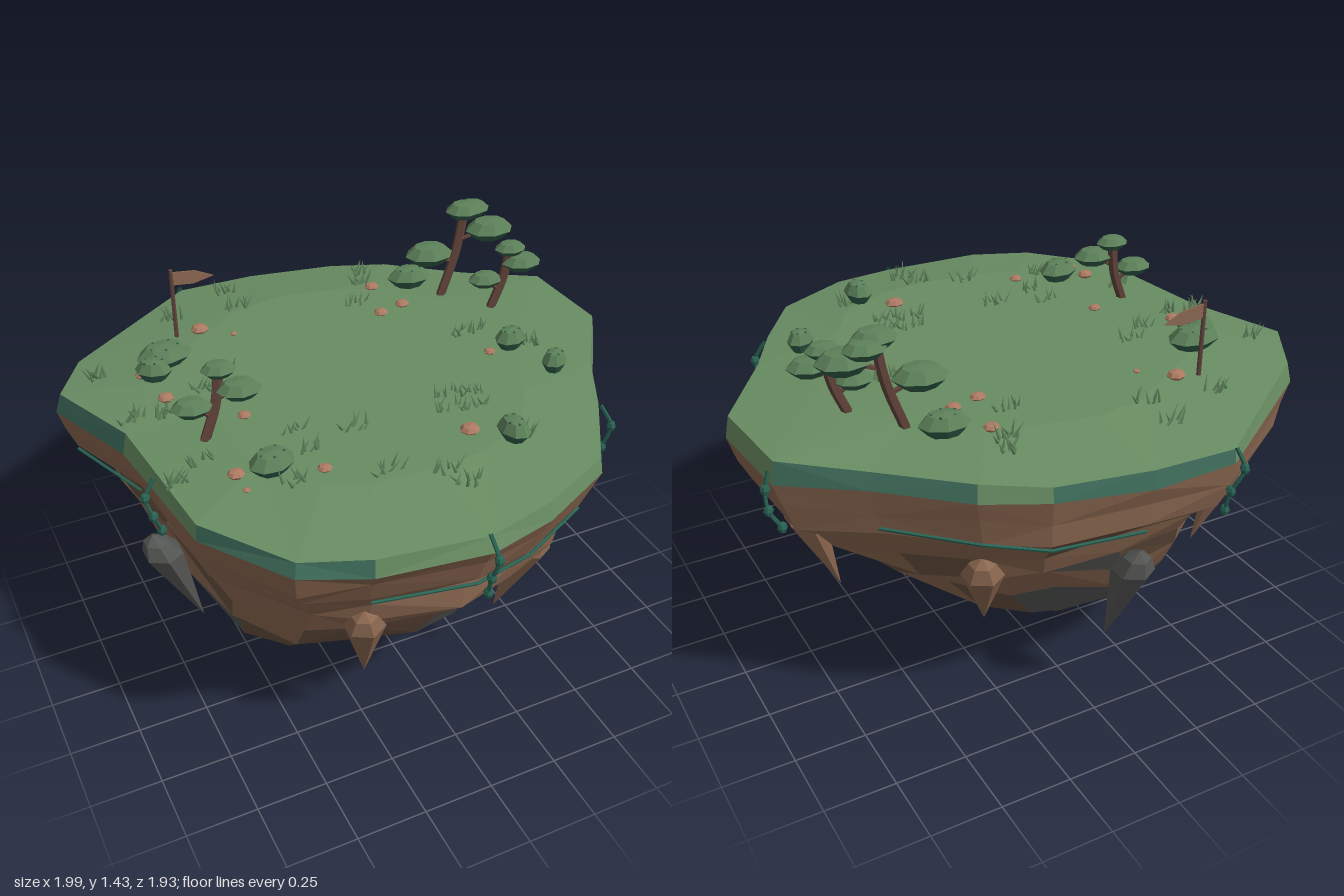
import * as THREE from 'three';
import { mergeGeometries } from 'three/addons/utils/BufferGeometryUtils.js';

let seed = 11;
const rand = () => (seed = (seed * 16807) % 2147483647) / 2147483647;
const spread = (r) => (rand() * 2 - 1) * r;
const V = (x, y, z) => new THREE.Vector3(x, y, z);

const mat = (name, color) => {
  const m = new THREE.MeshStandardMaterial({ color, flatShading: true });
  m.name = name;
  return m;
};

// Island outline as x, z pairs, from the left edge round the back
const OUTLINE = [
  [-1, -0.37], [-0.875, -0.57], [-0.355, -0.935], [-0.065, -0.93], [0.26, -0.87], [0.46, -0.77],
  [0.715, -0.56], [0.95, -0.38], [0.98, -0.03], [0.78, 0.26], [0.66, 0.48], [0.5, 0.735],
  [0.23, 0.865], [-0.01, 0.92], [-0.38, 0.87], [-0.6, 0.79], [-0.8, 0.505], [-0.865, -0.03],
];
const N = OUTLINE.length;

// Scaled copy of the outline; round blends it toward a circle
function ring(s, y, { cx = 0, cz = 0, js = 0, jy = 0, round = 0 } = {}) {
  return OUTLINE.map(([x, z]) => {
    const k = s * (1 + spread(js)) * (1 - round + round * 0.96 / Math.hypot(x, z));
    return V(cx + x * k, y + spread(jy), cz + z * k);
  });
}

export function createModel() {
  const root = new THREE.Group();
  const M = {
    grass: mat('grass', 0x688c62),
    moss: mat('moss', 0x3f6d5c),
    rock: mat('rock', 0x8a6750),
    darkRock: mat('dark rock', 0x67503f),
    stone: mat('grey stone', 0x545653),
    leaf: mat('foliage', 0x5c8059),
    darkLeaf: mat('dark foliage', 0x305c48),
    bark: mat('bark', 0x61443a),
    vine: mat('vine', 0x286253),
    pebble: mat('pebble', 0xac7a62),
  };

  const add = (name, geo, material) => {
    const m = new THREE.Mesh(geo, material);
    m.name = name;
    root.add(m);
    return m;
  };

  // Skins a stack of rings; pick(level, side) chooses the colour of each quad
  function skin(name, rings, pick) {
    const buckets = new Map();
    for (let l = 0; l + 1 < rings.length; l++) {
      for (let i = 0; i < N; i++) {
        const j = (i + 1) % N, [a, b] = [rings[l], rings[l + 1]];
        const key = pick(l, i);
        if (!buckets.has(key)) buckets.set(key, []);
        const out = buckets.get(key);
        const tris = (i + l) % 2
          ? [a[i], a[j], b[j], a[i], b[j], b[i]]
          : [a[i], a[j], b[i], a[j], b[j], b[i]];
        tris.forEach((p) => out.push(p.x, p.y, p.z));
      }
    }
    for (const [key, pos] of buckets) {
      const g = new THREE.BufferGeometry();
      g.setAttribute('position', new THREE.Float32BufferAttribute(pos, 3));
      g.computeVertexNormals();
      add(`${name} ${M[key].name}`, g, M[key]);
    }
  }

  // Grass cap, drooping to front and back, with mossy patches on its lip
  const edge = ring(0.985, 1.06, { js: 0.008, jy: 0.008 });
  const lip = ring(0.998, 0.99, { jy: 0.012 });
  edge.forEach((p) => { p.y -= 0.035 * p.z * p.z; });
  lip.forEach((p) => { p.y -= 0.02 * p.z * p.z; });
  const mossy = [2, 3, 5, 6, 9, 14, 15, 17];
  skin('turf', [ring(0, 1.083), ring(0.66, 1.08, { js: 0.03 }), edge, lip],
    (l, i) => (l === 2 && mossy.includes(i) ? 'moss' : 'grass'));

  // Rock body: stepped strata that taper to an off-centre tip
  skin('cliff', [
    lip,
    ring(0.967, 0.9, { cz: -0.01, js: 0.01, jy: 0.015 }),
    ring(0.935, 0.81, { cz: -0.025, js: 0.012, jy: 0.012 }),
    ring(0.85, 0.725, { cz: -0.01, js: 0.025, jy: 0.02, round: 0.3 }),
    ring(0.815, 0.65, { cx: -0.01, js: 0.03, jy: 0.02, round: 0.4 }),
    ring(0.745, 0.55, { cx: -0.05, cz: -0.01, js: 0.03, jy: 0.025, round: 0.4 }),
    ring(0.665, 0.43, { cx: -0.09, cz: -0.02, js: 0.03, jy: 0.025, round: 0.4 }),
    ring(0.51, 0.28, { cx: -0.15, cz: -0.06, js: 0.04, jy: 0.025, round: 0.5 }),
    ring(0.31, 0.15, { cx: -0.17, cz: -0.08, js: 0.05, jy: 0.02, round: 0.6 }),
    ring(0.14, 0.055, { cx: -0.17, cz: -0.15, js: 0.06, jy: 0.01, round: 0.6 }),
    ring(0, 0, { cx: -0.19, cz: -0.09 }),
  ], (l, i) => {
    const r = rand();
    if (l < 4) return r < 0.1 ? 'darkRock' : 'rock';
    if (l >= 8) return i > 9 && i < 14 ? 'darkRock' : 'stone';
    const grey = [0.1, 0.25, 0.35, 0.5][l - 4];
    return r < grey ? 'stone' : r < grey + 0.35 ? 'darkRock' : 'rock';
  });

  // Hanging rock spikes (x, z, length): a short cap above a long point
  const spikes = [
    [-0.32, 0.67, 0.33, 'rock'], [0.36, 0.57, 0.33, 'rock'], [0.74, -0.03, 0.32, 'rock'],
    [0.36, -0.61, 0.24, 'rock'], [-0.08, -0.81, 0.35, 'stone'], [-0.74, -0.45, 0.32, 'rock'],
    [-0.79, 0.05, 0.35, 'stone'],
  ];
  for (const [x, z, len, key] of spikes) {
    const profile = [[0, -len], [0.072, 0], [0.045, 0.055], [0, 0.085]];
    const g = new THREE.LatheGeometry(profile.map(([r, y]) => new THREE.Vector2(r, y)), 6);
    const p = g.attributes.position;
    for (let i = 0; i < p.count; i++) { // lean the point inward
      const k = p.getY(i) * 0.36 / Math.hypot(x, z);
      p.setXYZ(i, p.getX(i) + x * k, p.getY(i), p.getZ(i) + z * k);
    }
    add('rockSpike', g, M[key]).position.set(x, 0.6, z);
  }

  const tube = (pts, r, steps = 8) =>
    new THREE.TubeGeometry(new THREE.CatmullRomCurve3(pts), steps, r, 5);
  const ball = (p, rx, ry, rz = rx, a = 8, b = 5) =>
    new THREE.SphereGeometry(1, a, b).scale(rx, ry, rz).translate(p.x, p.y, p.z);

  // Vines draped over the rim
  const drops = [[-0.355, -0.94, 0.8], [0.965, -0.385, 0.83], [-0.85, 0.22, 0.83], [0.685, 0.48, 0.77], [-0.01, 0.925, 0.8]];
  for (const [x, z, end] of drops) {
    const pts = [0, 0.3, 0.65, 1].map((t, i) => {
      const k = [0.985, 1.02, 1, 0.975][i];
      return V(x * k + spread(0.012), 1.04 + (end - 1.04) * t, z * k + spread(0.012));
    });
    const knots = pts.slice(1).map((p) => ball(p, 0.017, 0.02, 0.017, 6, 4));
    add('hangingVine', mergeGeometries([tube(pts, 0.007), ...knots]), M.vine);
  }

  // Roots running along the ledge: outline index and height of each point
  for (const path of [[[11, 0.805], [12, 0.785], [13, 0.79], [14, 0.815]], [[3, 0.8], [4, 0.79], [5, 0.825], [6, 0.85]], [[17, 0.8], [0, 0.81]]]) {
    const pts = path.map(([i, y]) => {
      const s = 0.942 + (y - 0.808) * 0.4;
      return V(OUTLINE[i][0] * s, y, OUTLINE[i][1] * s - 0.022);
    });
    for (let i = 0; i + 1 < pts.length; i++) add('ledgeRoot', tube([pts[i], pts[i + 1]], 0.006, 1), M.vine);
  }

  // Leafy clump: light faceted top over a dark underside
  function clump(name, x, y, z, rx, ry, rz, turn = 0) {
    const half = (profile) => new THREE.LatheGeometry(profile.map(([r, h]) => new THREE.Vector2(r, h)), 8)
      .scale(rx, ry, rz).rotateY(turn).translate(x, y, z);
    add(name, half([[1, 0], [0.62, 0.85], [0, 1]]), M.leaf);
    add(`${name}Underside`, half([[0, -1], [0.6, -0.85], [1, 0]]), M.darkLeaf);
  }

  // Trees: base, then crowns as x, y, z, radius; the first crown tops the trunk
  const trees = [
    [[0.51, -0.39], [[0.605, 1.4, -0.4, 0.075], [0.465, 1.245, -0.41, 0.092], [0.69, 1.325, -0.36, 0.092], [0.65, 1.385, -0.43, 0.07]]],
    [[0.63, -0.22], [[0.7, 1.305, -0.22, 0.06], [0.74, 1.25, -0.2, 0.075], [0.61, 1.19, -0.235, 0.065]]],
    [[-0.63, 0.13], [[-0.56, 1.31, 0.11, 0.06], [-0.51, 1.25, 0.155, 0.075], [-0.66, 1.197, 0.115, 0.07]]],
  ];
  for (const [[bx, bz], crowns] of trees) {
    const [tx, ty, tz] = crowns[0];
    const at = (t) => V(bx + (tx - bx) * t, 1.07 + (ty - 1.07) * t, bz + (tz - bz) * t);
    add('treeTrunk', tube([at(0), at(0.5).add(V(0.012, 0, 0)), at(0.95)], 0.018), M.bark);
    for (const [x, y, z, r] of crowns) {
      clump('treeCrown', x, y, z, r, r * 0.43, r * 0.75, -0.15);
      const t = Math.max(0.1, (y - 1.11) / (ty - 1.07));
      if (t < 0.9) add('treeBranch', tube([at(t), V(x, y, z)], 0.009, 2), M.bark);
    }
  }

  // Bushes (x, z, half width, half depth, turn) speckled with dark leaves
  const bushes = [
    [-0.6, -0.36, 0.1, 0.068, 0], [-0.665, -0.28, 0.065, 0.048, -0.5], [-0.5, 0.385, 0.08, 0.06, 0.2],
    [0.545, 0.065, 0.06, 0.047, 0.1], [0.605, 0.26, 0.05, 0.042, 0.5], [0.265, 0.555, 0.047, 0.065, 0.2],
    [0.43, -0.5, 0.085, 0.055, -0.2],
  ];
  for (const [x, z, rx, rz, turn] of bushes) {
    clump('bush', x, 1.115, z, rx, 0.042, rz, turn);
    const specks = [0.3, 1.6, 2.8, 4.1, 5.3].map((a) =>
      ball(V(x + Math.cos(a) * rx * 0.5, 1.15, z + Math.sin(a) * rz * 0.5), 0.006, 0.005, 0.006, 5, 3));
    add('bushSpeckles', mergeGeometries(specks), M.darkLeaf);
  }

  // Pebbles (x, z, radius)
  const pebbles = [
    [-0.415, -0.52, 0.034], [0.29, -0.54, 0.028], [0.235, -0.345, 0.028], [0.335, -0.37, 0.028], [-0.67, -0.14, 0.029],
    [-0.7, -0.31, 0.025], [-0.47, 0.07, 0.024], [-0.61, 0.36, 0.03], [-0.35, 0.45, 0.025], [-0.61, 0.45, 0.013],
    [0.46, 0.07, 0.022], [0.16, 0.46, 0.036], [-0.315, -0.435, 0.013],
  ];
  for (const [x, z, r] of pebbles) add('pebble', ball(V(x, 1.086, z), r, r * 0.5, r * 0.9, 7, 4), M.pebble);

  // Grass tufts of flat blades that lean sideways
  const tufts = [
    [-0.48, -0.65], [-0.24, -0.76], [-0.24, -0.62], [0.3, -0.68], [0.28, -0.6], [0.18, -0.45], [-0.82, -0.38],
    [-0.8, -0.08], [-0.69, -0.06], [-0.54, -0.14], [-0.45, -0.21], [-0.36, 0.22], [-0.34, 0.33],
    [-0.17, 0.29], [-0.18, 0.54], [-0.45, 0.47], [-0.78, 0.32], [-0.68, 0.24], [-0.01, 0.62], [0.19, 0.24],
    [0.16, 0.32], [0.27, 0.27], [0.32, 0.56], [0.24, 0.36], [0.62, 0.08], [0.43, -0.08], [0.49, -0.1], [0.03, 0.7],
  ];
  const blades = [];
  for (const [x, z] of tufts) {
    for (let i = 0; i < 8; i++) {
      const h = 0.04 + rand() * 0.03;
      blades.push(new THREE.ConeGeometry(0.007, h, 4).scale(1, 1, 0.5).translate(0, h / 2, 0)
        .rotateZ(spread(0.75)).rotateX(spread(0.2))
        .translate(x + spread(0.045), 1.072, z + spread(0.02)));
    }
  }
  add('grassTufts', mergeGeometries(blades), M.leaf);

  // Flag on its pole
  add('flagPole', new THREE.CylinderGeometry(0.007, 0.008, 0.27, 6), M.bark).position.set(-0.5, 1.205, -0.53);
  const cloth = new THREE.Shape([[0, 0], [0.09, -0.012], [0.155, -0.045], [0.08, -0.06], [0, -0.05]]
    .map(([x, y]) => new THREE.Vector2(x, y)));
  add('flag', new THREE.ExtrudeGeometry(cloth, { depth: 0.006, bevelEnabled: false }), M.rock).position.set(-0.5, 1.33, -0.533);

  return root;
}
